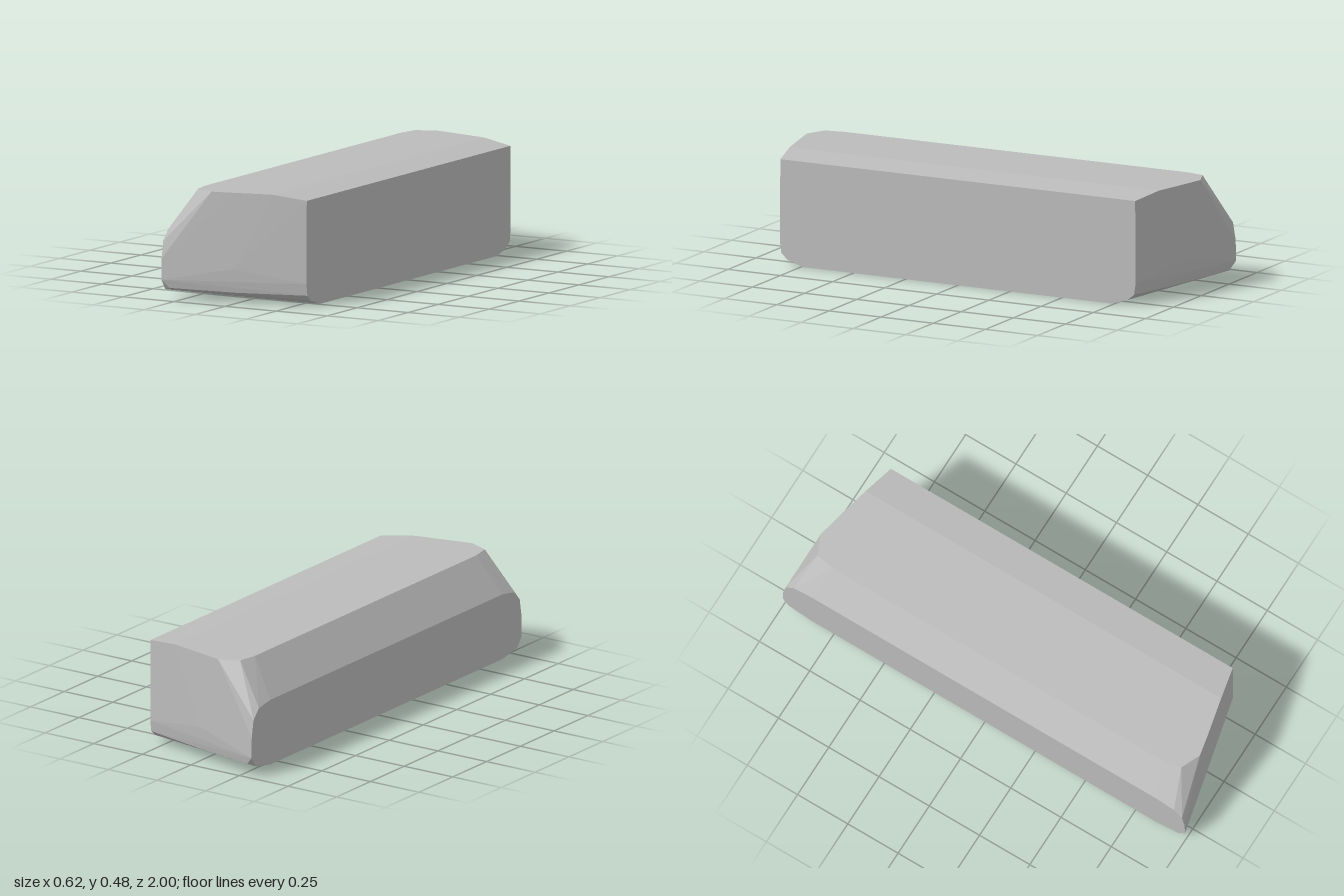
import * as THREE from 'three';
import { ConvexGeometry } from 'three/addons/geometries/ConvexGeometry.js';

export function createModel() {
  const group = new THREE.Group();
  const grey = new THREE.MeshStandardMaterial({ color: 0xbbbbbb });
  grey.name = 'plain grey';

  // Corners of one end of the block; the other end is its mirror
  const corners = [
    // tall straight side
    [0.312, 0.457, 0.85], [0.312, 0.1, 0.852], [0.312, 0.05, 0.845],
    [0.312, 0.025, 0.815], [0.312, 0.001, 0.74],
    // top face
    [0.165, 0.476, 0.884], [0, 0.476, 0.922], [-0.1, 0.476, 0.943],
    [-0.188, 0.476, 0.905], [-0.204, 0.476, 0.82],
    // lower edge of the sloping shoulder
    [-0.312, 0.312, 0.86], [-0.312, 0.298, 0.945], [-0.312, 0.255, 0.985],
    // rounded end and lower rim
    [-0.312, 0.18, 0.998], [-0.312, 0.09, 1], [-0.28, 0.055, 0.985],
    [-0.312, 0.045, 0.968], [-0.312, 0.024, 0.86],
    [0, 0.15, 0.929], [0, 0.048, 0.918],
  ];
  const points = [];
  for (const side of [1, -1]) {
    for (const [x, y, z] of corners) points.push(new THREE.Vector3(x, y, z * side));
  }

  const block = new THREE.Mesh(new ConvexGeometry(points), grey);
  block.name = 'chamferedBlock';
  group.add(block);
  return group;
}
